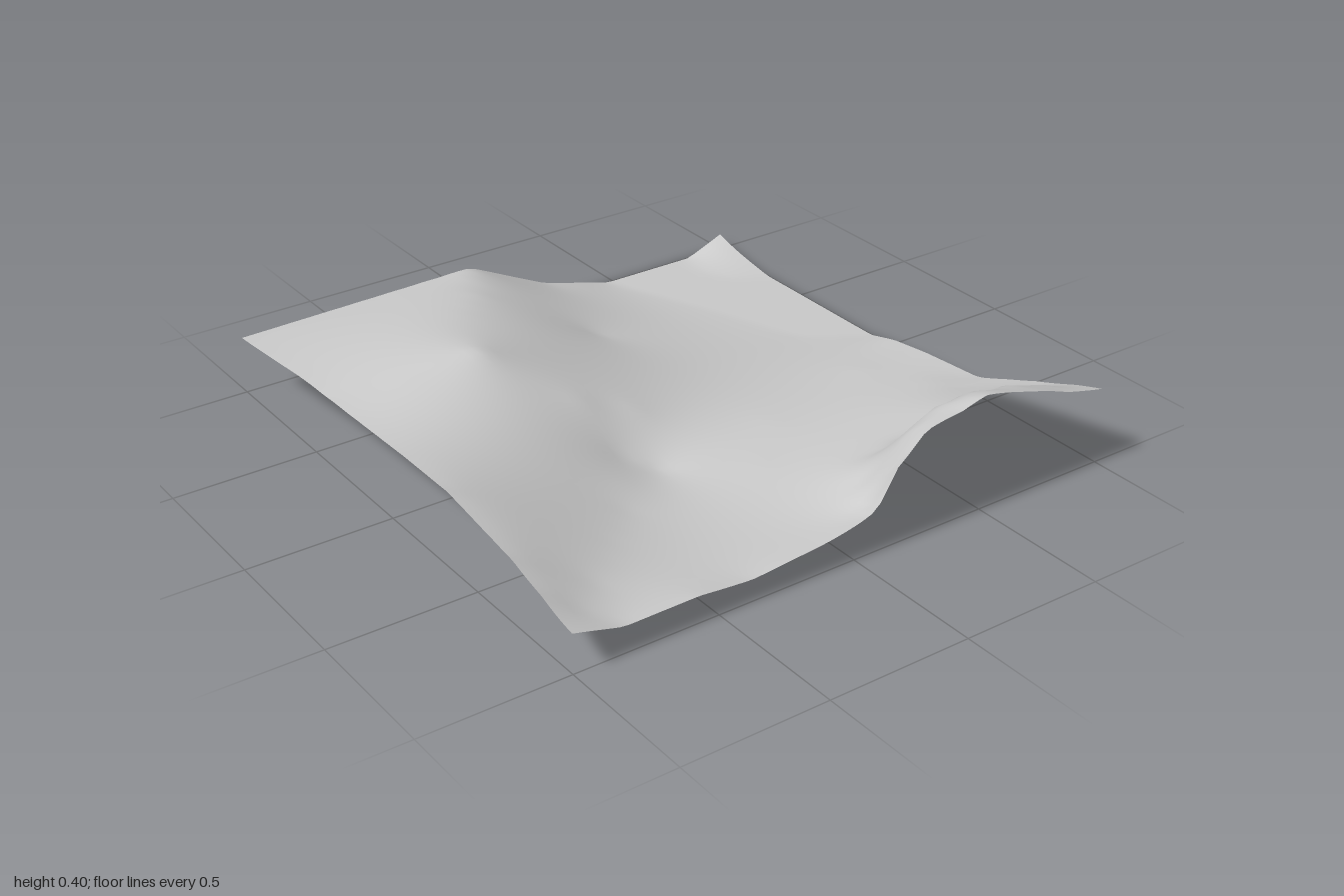
import * as THREE from 'three';

// Feature lines of the landscape, each a polyline of [x, z, height]
const lines = {
  leftEdge: [[-1, -1, 0.06], [-1, -0.85, 0], [-1, -0.48, 0], [-1, -0.2, 0.075], [-1, 0.11, 0.22], [-1, 1, 0.205]],
  frontEdge: [[-0.9, 1, 0.212], [-0.57, 1, 0.242], [-0.26, 1, 0.252], [0.1, 1, 0.264], [0.35, 1, 0.265], [0.7, 1, 0.214], [1, 1, 0.135]],
  rightEdge: [[1, 0.83, 0.09], [1, 0.57, 0.092], [1, 0.38, 0.075], [1, 0.1, 0.1], [1, -0.08, 0.145]],
  backEdge: [[-0.7, -1, 0], [-0.1, -1, 0], [0.02, -1, 0.03], [0.19, -1, 0.05], [0.45, -1, 0.068], [0.72, -1, 0.17], [0.95, -1, 0.25]],
  shore: [[-0.9, -0.52, 0], [-0.6, -0.65, 0], [-0.25, -0.78, 0], [-0.13, -0.95, 0]],
  ridge: [[-0.9, 0.16, 0.23], [-0.75, 0.23, 0.25], [-0.5, 0.45, 0.295], [-0.26, 0.52, 0.33], [0, 0.3, 0.19], [0.05, 0.13, 0.13]],
  ridgeFront: [[-0.26, 0.64, 0.31], [-0.26, 0.92, 0.262]],
  valley: [[0.15, -0.74, 0.05], [0.25, -0.55, 0.06], [0.28, -0.25, 0.065], [0.47, -0.05, 0.055], [0.28, 0.2, 0.03], [0.2, 0.28, 0.07], [0.47, 0.45, 0.065], [0.7, 0.68, 0.1], [0.9, 0.9, 0.12]],
  backCrease: [[0.28, -0.8, 0.06], [0.5, -0.88, 0.09], [0.77, -0.95, 0.19]],
  knollFoot: [[0.77, -0.87, 0.205], [0.73, -0.7, 0.205], [0.78, -0.6, 0.205], [0.74, -0.33, 0.145], [0.84, -0.17, 0.14], [0.95, -0.11, 0.14]],
  knollRim: [[1, -0.15, 0.26], [1, -0.26, 0.355], [1, -0.4, 0.375], [1, -0.5, 0.4], [1, -0.68, 0.355], [1, -0.85, 0.3], [1, -1, 0.265]],
  knollShoulder: [[0.9, -0.28, 0.3], [0.87, -0.4, 0.33], [0.88, -0.52, 0.35], [0.88, -0.68, 0.325], [0.9, -0.83, 0.29]],
  slopes: [[-0.5, -0.1, 0.1]]
};

// Points spaced closely along a polyline, so that the line holds its crease
function sampleLine(points, spacing = 0.13) {
  const out = [points[0]];
  for (let i = 1; i < points.length; i++) {
    const a = points[i - 1], b = points[i];
    const n = Math.max(1, Math.round(Math.hypot(b[0] - a[0], b[1] - a[1]) / spacing));
    for (let k = 1; k <= n; k++) out.push(a.map((v, j) => v + (b[j] - v) * k / n));
  }
  return out;
}

// Gaussian elimination with pivoting; the last column is the right side
function solve(m) {
  const n = m.length;
  for (let c = 0; c < n; c++) {
    let p = c;
    for (let r = c + 1; r < n; r++) if (Math.abs(m[r][c]) > Math.abs(m[p][c])) p = r;
    [m[c], m[p]] = [m[p], m[c]];
    for (let r = c + 1; r < n; r++) {
      const f = m[r][c] / m[c][c];
      for (let k = c; k <= n; k++) m[r][k] -= f * m[c][k];
    }
  }
  const x = new Array(n).fill(0);
  for (let r = n - 1; r >= 0; r--) {
    let s = m[r][n];
    for (let k = r + 1; k < n; k++) s -= m[r][k] * x[k];
    x[r] = s / m[r][r];
  }
  return x;
}

// Height function stretched over all feature lines
function makeHeight() {
  const pts = Object.values(lines).flatMap(l => sampleLine(l));
  const n = pts.length;
  const rows = pts.map(p => [...pts.map(q => Math.hypot(p[0] - q[0], p[1] - q[1])), 1, p[2]]);
  rows.push([...new Array(n).fill(1), 0, 0]);
  const w = solve(rows);
  return (x, z) => {
    let h = w[n];
    for (let i = 0; i < n; i++) h += w[i] * Math.hypot(x - pts[i][0], z - pts[i][1]);
    return Math.min(0.4, Math.max(0, h));
  };
}

export function createModel() {
  const group = new THREE.Group();
  group.name = 'landscape';

  // Thin ground sheet
  const height = makeHeight();
  const geometry = new THREE.PlaneGeometry(2, 2, 64, 64).rotateX(-Math.PI / 2);
  const pos = geometry.attributes.position;
  for (let i = 0; i < pos.count; i++) pos.setY(i, height(pos.getX(i), pos.getZ(i)));
  geometry.computeVertexNormals();

  const terrain = new THREE.Mesh(geometry, new THREE.MeshStandardMaterial({ color: 0xcccccc, side: THREE.DoubleSide }));
  terrain.name = 'terrain';
  group.add(terrain);
  return group;
}
